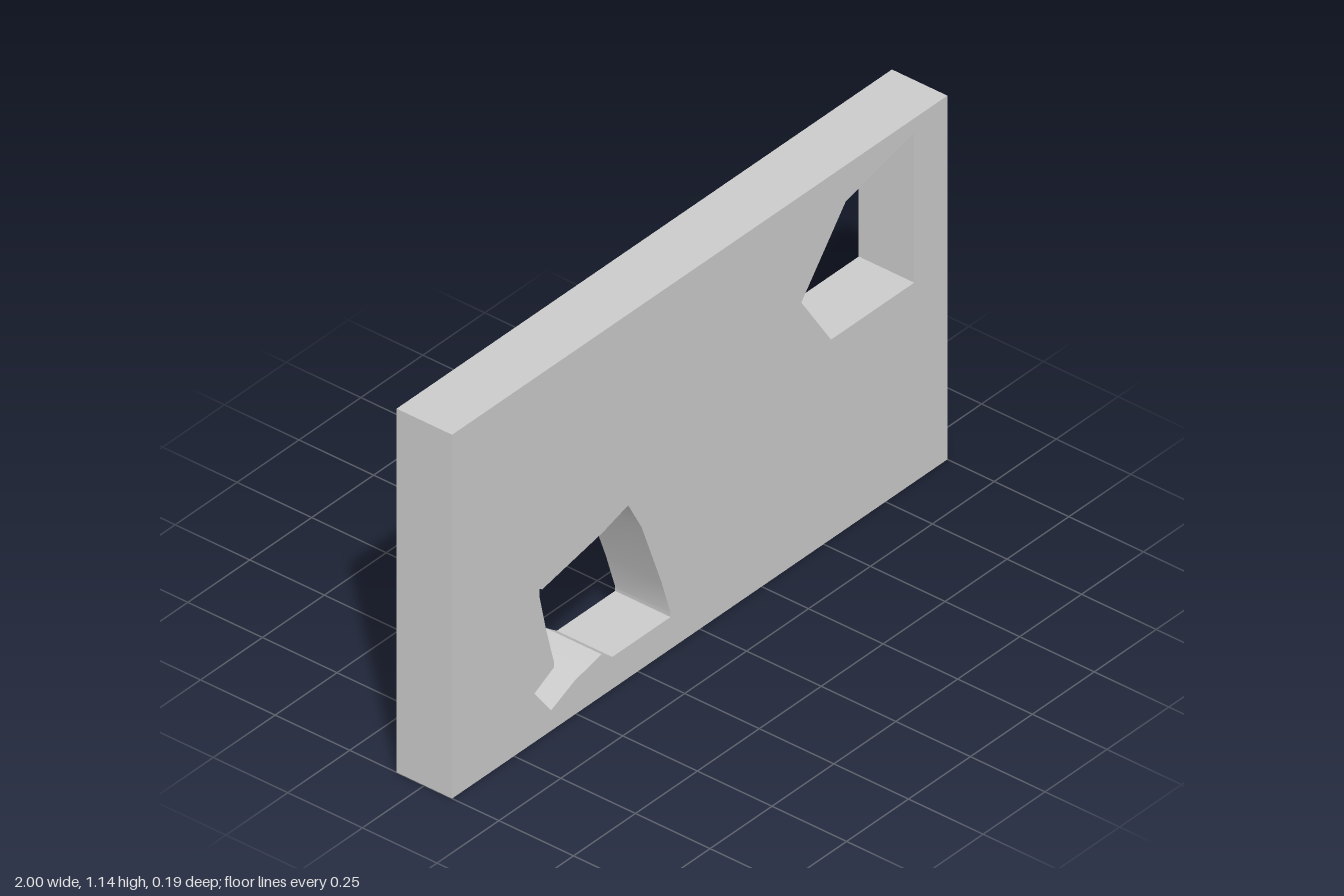
import * as THREE from 'three';
import { toCreasedNormals } from 'three/addons/utils/BufferGeometryUtils.js';

const WIDTH = 2, HEIGHT = 1.14, DEPTH = 0.186;

const points = (list) => list.map(([x, y]) => new THREE.Vector2(x, y));

export function createModel() {
  const model = new THREE.Group();
  model.name = 'wall';

  // Rectangular slab outline
  const w = WIDTH / 2;
  const outline = new THREE.Shape(points([[-w, 0], [w, 0], [w, HEIGHT], [-w, HEIGHT]]));

  // Five-sided window opening, upper left of the wall
  const windowHole = [[0.866, 1.096], [0.59, 1.027], [0.41, 0.805], [0.53, 0.625], [0.866, 0.625]];

  // Ragged broken opening, lower right of the wall
  const brokenHole = [
    [-0.647, 0.47], [-0.636, 0.462], [-0.39, 0.511], [-0.289, 0.541], [-0.235, 0.444],
    [-0.155, 0.23], [-0.118, 0.115], [-0.118, 0.1], [-0.353, 0.1], [-0.396, 0.131],
    [-0.503, 0.107], [-0.6, 0.064], [-0.668, 0.152], [-0.588, 0.193], [-0.588, 0.207],
    [-0.62, 0.326], [-0.647, 0.444],
  ];
  for (const hole of [windowHole, brokenHole]) outline.holes.push(new THREE.Path(points(hole)));

  // Slab with both openings cut straight through
  const geometry = new THREE.ExtrudeGeometry(outline, { depth: DEPTH, bevelEnabled: false });
  geometry.translate(0, 0, -DEPTH / 2);
  const slab = new THREE.Mesh(
    toCreasedNormals(geometry, Math.PI / 6),
    new THREE.MeshStandardMaterial({ color: 0xcccccc })
  );
  slab.name = 'wallSlab';
  model.add(slab);

  return model;
}
